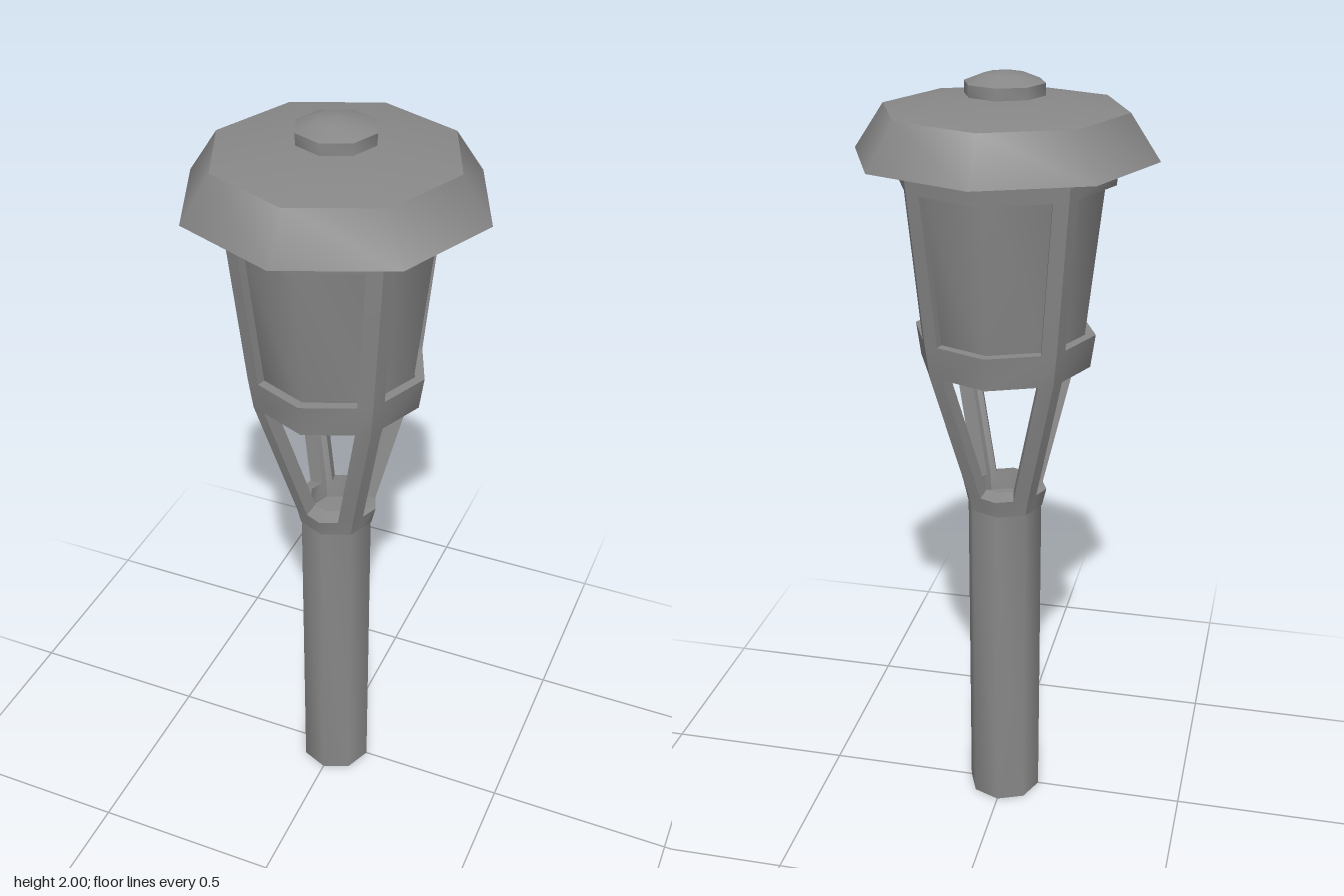
import * as THREE from 'three';
import { toCreasedNormals } from 'three/addons/utils/BufferGeometryUtils.js';

const material = new THREE.MeshStandardMaterial({ color: 0x888888, side: THREE.DoubleSide });
const SIDES = 8;

function addMesh(parent, name, geometry) {
  const mesh = new THREE.Mesh(geometry, material);
  mesh.name = name;
  parent.add(mesh);
  return mesh;
}

// Eight-sided turned part: rounded around the axis, sharp between bands
function turned(profile) {
  const points = profile.map(([r, y]) => new THREE.Vector2(r, y));
  return toCreasedNormals(new THREE.LatheGeometry(points, SIDES), 0.8);
}

// One quarter of the octagonal frame, with two openings cut through its thickness
function frameQuarter() {
  // Height, outer radius and wall thickness of each level
  const levels = [[0.89, 0.1, 0.035], [0.937, 0.111, 0.04], [1.285, 0.218, 0.045],
    [1.37, 0.23, 0.025], [1.745, 0.27, 0.025], [1.81, 0.277, 0.025]];
  const strutHalf = 0.035, k = Math.SQRT1_2;

  const corner = (row, col, inner) => {
    const [y, outerR, thickness] = levels[row];
    const depth = inner ? thickness : 0;
    const r = outerR - depth;
    const edge = outerR * k - strutHalf - depth * 0.2;
    const x = [-r * k, -edge, 0, edge, r * k][col];
    const lift = inner && row === 1 ? 0.01 : 0;
    return [x, y + lift, r - Math.abs(x) * (1 - k) / k];
  };
  const solid = (row, col) => row >= 0 && row < 5 && !((row === 1 || row === 3) && (col === 1 || col === 2));

  const positions = [];
  const quad = (a, b, c, d) => positions.push(...a, ...b, ...c, ...a, ...c, ...d);
  for (let row = 0; row < 5; row++) {
    for (let col = 0; col < 4; col++) {
      if (!solid(row, col)) continue;
      const [o, i] = [false, true].map(inner => [
        corner(row, col, inner), corner(row, col + 1, inner),
        corner(row + 1, col + 1, inner), corner(row + 1, col, inner)]);
      quad(o[0], o[1], o[2], o[3]);
      quad(i[1], i[0], i[3], i[2]);
      // Thickness walls wherever the neighbouring cell is open
      const open = [!solid(row - 1, col), col < 3 && !solid(row, col + 1),
        !solid(row + 1, col), col > 0 && !solid(row, col - 1)];
      open.forEach((isOpen, e) => {
        const n = (e + 1) % 4;
        if (isOpen) quad(o[e], i[e], i[n], o[n]);
      });
    }
  }
  const geometry = new THREE.BufferGeometry();
  geometry.setAttribute('position', new THREE.Float32BufferAttribute(positions, 3));
  return toCreasedNormals(geometry, 0.8);
}

export function createModel() {
  const model = new THREE.Group();
  model.name = 'gardenLamp';

  // Hollow post, closed at the top
  addMesh(model, 'post', turned([[0.098, 0], [0.098, 0.897], [0, 0.897]]));

  // Collar, splayed struts and lantern rails
  const frame = new THREE.Group();
  frame.name = 'frame';
  model.add(frame);
  const quarter = frameQuarter();
  for (let i = 0; i < 4; i++) {
    addMesh(frame, 'frameQuarter', quarter).rotation.y = i * Math.PI / 2;
  }

  // Tapered glass behind the window openings, open below
  addMesh(model, 'glass', turned([[0.2, 1.345], [0.25, 1.8]]));

  // Roof with a sloped skirt and a shallow underside
  addMesh(model, 'roof', turned([[0, 1.79], [0.28, 1.79], [0.372, 1.805], [0.298, 1.915], [0, 1.962]]));

  // Domed cap
  addMesh(model, 'cap', turned([[0.098, 1.94], [0.098, 1.975], [0.05, 1.994], [0, 2]]));

  return model;
}
